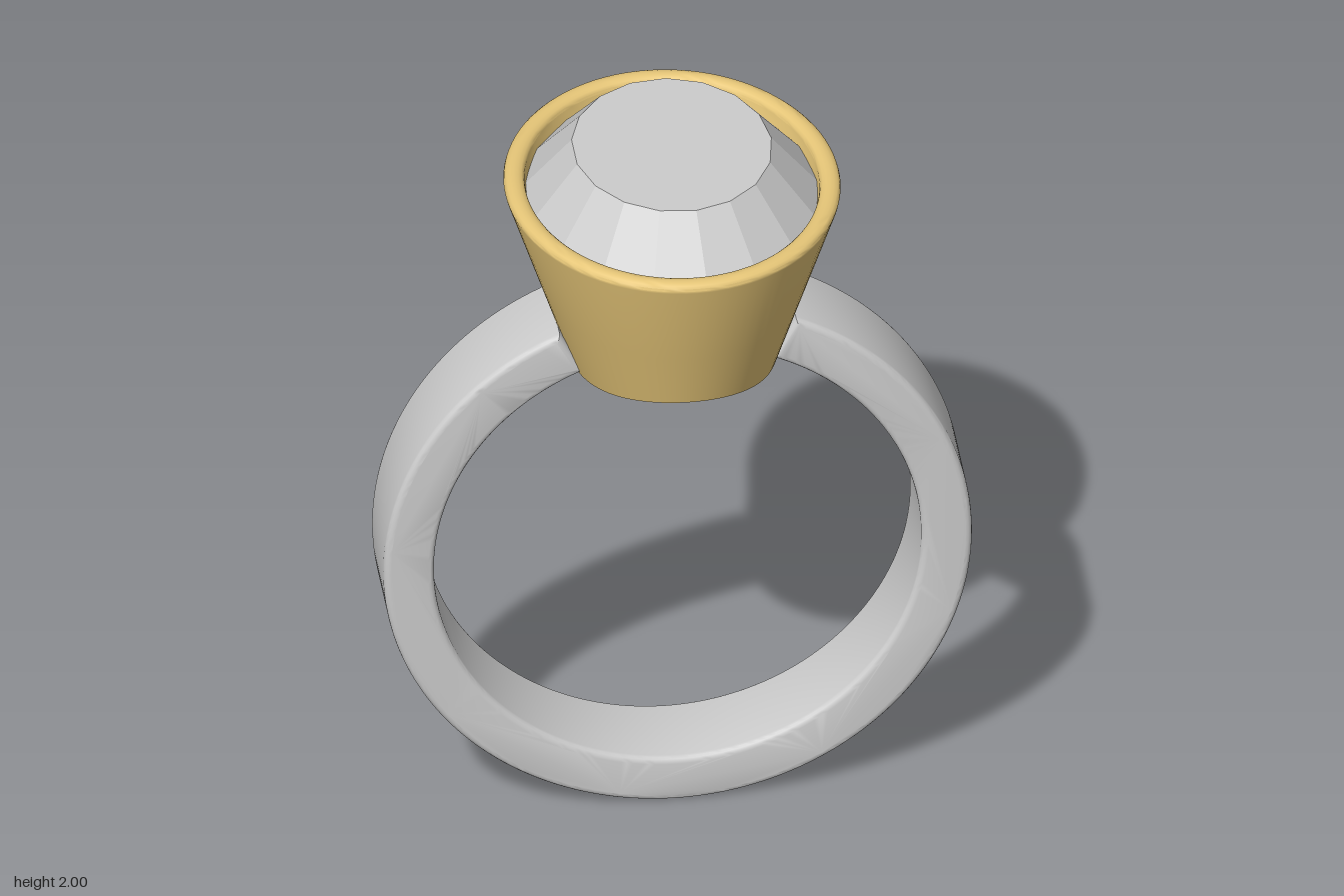
import * as THREE from 'three';
import { toCreasedNormals } from 'three/addons/utils/BufferGeometryUtils.js';

const CENTRE = 0.785;      // height of the band's axis
const OUTER = 0.785;
const INNER = 0.65;

const grey = new THREE.MeshStandardMaterial({ color: 0xcccccc });
const gemGrey = new THREE.MeshStandardMaterial({ color: 0xcccccc, flatShading: true });
const gold = new THREE.MeshStandardMaterial({ color: 0xe6c678 });

function part(name, geometry, material) {
  const mesh = new THREE.Mesh(geometry, material);
  mesh.name = name;
  return mesh;
}

// Open hoop with softened edges; its slanted ends are buried in the setting wall
function bandGeometry() {
  const a = Math.acos(0.315 / OUTER);
  const b = Math.acos(0.25 / INNER);
  const shape = new THREE.Shape();
  shape.absarc(0, 0, OUTER, Math.PI - a, 2 * Math.PI + a, false);
  shape.absarc(0, 0, INNER, 2 * Math.PI + b, Math.PI - b, true);
  shape.closePath();
  const bevel = 0.018, width = 0.266;
  const geo = new THREE.ExtrudeGeometry(shape, {
    depth: width - 2 * bevel, curveSegments: 120,
    bevelThickness: bevel, bevelSize: bevel, bevelOffset: -bevel, bevelSegments: 4,
  });
  geo.translate(0, CENTRE, -width / 2 + bevel);
  return toCreasedNormals(geo, 0.6);
}

// Tapered oval collar, hollow, its underside cut to follow the finger hole
function settingGeometry() {
  const extra = 0.08;      // the oval is this much longer along z
  const outerR = y => 0.445 - 0.33 * (1.88 - y);
  const innerR = y => 0.388 - 0.42 * (1.86 - y);
  const base = 1.3;        // marks profile points that lie on the cut
  const profile = [[0, base], [outerR(1.6), 1.6], [outerR(1.875), 1.875]];
  for (let i = 0; i <= 8; i++) {           // rounded lip
    const t = (i / 8) * Math.PI;
    profile.push([0.417 + 0.028 * Math.cos(t), 1.882 + 0.018 * Math.sin(t)]);
  }
  profile.push([innerR(1.86), 1.86], [innerR(1.6), 1.6], [1, base], [0.67, base], [0.33, base], [0, base]);
  const geo = new THREE.LatheGeometry(profile.map(p => new THREE.Vector2(...p)), 96);
  const pos = geo.attributes.position;
  const n = profile.length;
  for (let i = 0; i < pos.count; i++) {
    const phi = (Math.floor(i / n) / 96) * 2 * Math.PI;
    let [r, y] = profile[i % n];
    if (y === base) {
      const inward = r;                    // 0 = outer edge, 1 = inner edge
      y = 1.42;
      for (let k = 0; k < 8; k++) {
        r = THREE.MathUtils.lerp(outerR(y), innerR(y), inward);
        y = CENTRE + Math.sqrt(0.646 ** 2 - (r * Math.sin(phi)) ** 2);
      }
    }
    pos.setXYZ(i, r * Math.sin(phi), y, (r + extra) * Math.cos(phi));
  }
  return toCreasedNormals(geo, 0.7);
}

// Faceted oval stone: point below, widest at the girdle, flat table on top
function gemGeometry() {
  const profile = [[0, 1.48], [0.39, 1.85], [0.265, 2], [0, 2]].map(p => new THREE.Vector2(...p));
  const geo = new THREE.LatheGeometry(profile, 17, Math.PI / 2);
  geo.scale(1, 1, 1.2);
  return geo;
}

export function createModel() {
  const ring = new THREE.Group();
  ring.name = 'ring';
  ring.add(
    part('band', bandGeometry(), grey),
    part('setting', settingGeometry(), gold),
    part('gemstone', gemGeometry(), gemGrey),
  );
  return ring;
}
